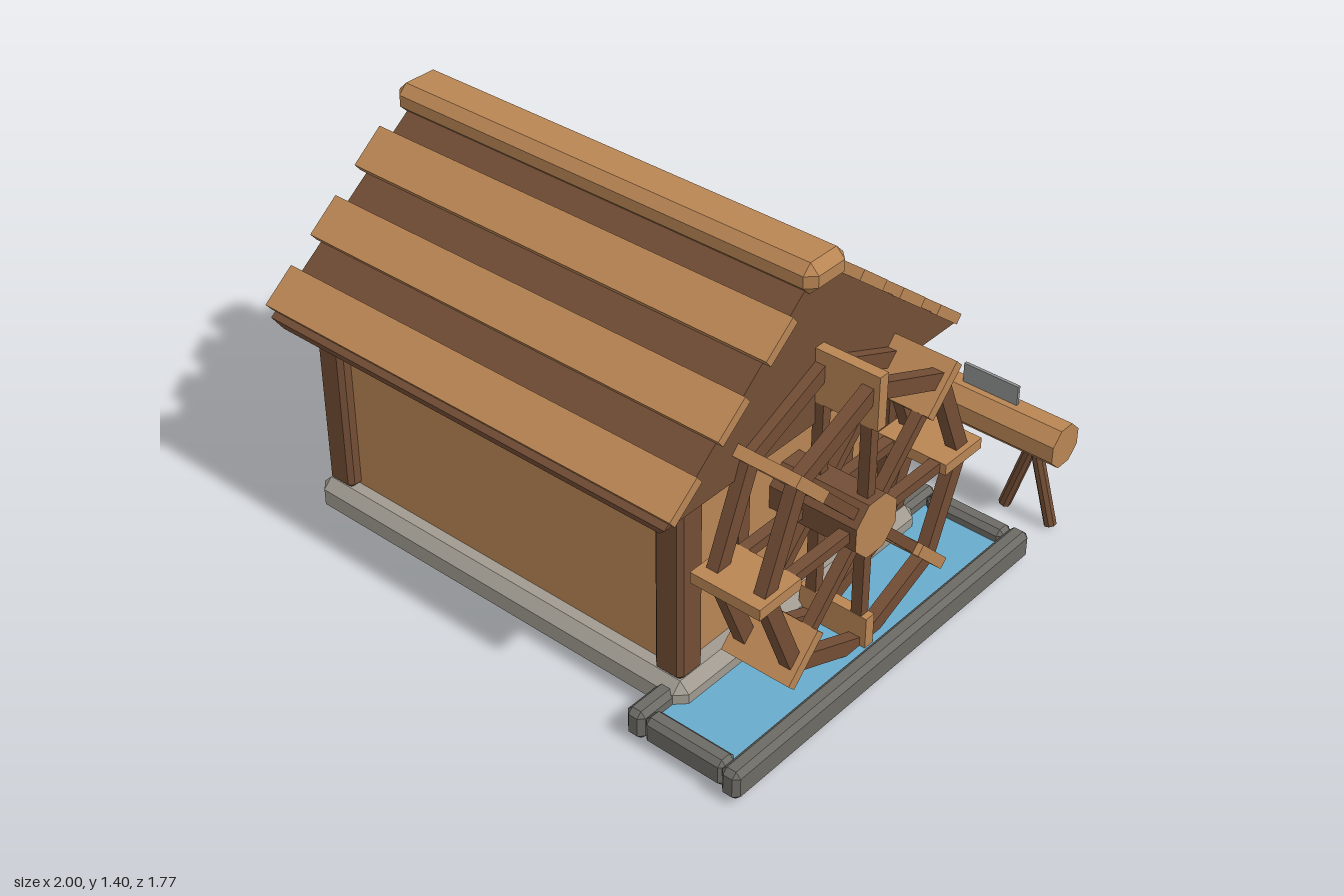
import * as THREE from 'three';
import { ConvexGeometry } from 'three/addons/geometries/ConvexGeometry.js';

const mat = (name, color) => {
  const m = new THREE.MeshStandardMaterial({ color });
  m.name = name;
  return m;
};

export function createModel() {
  const wood = mat('lightWood', 0xb98554);
  const dark = mat('darkWood', 0x724d35);
  const stone = mat('paleStone', 0xa09a90);
  const curb = mat('greyStone', 0x6c6a65);
  const water = mat('water', 0x68abcb);
  const navy = mat('navy', 0x32365a);
  const steel = mat('steel', 0x8e9090);

  const model = new THREE.Group();
  model.name = 'watermill';
  const ZC = 0.135; // centre line of the house
  const XC = -0.145;

  const add = (parent, name, geo, material, x = 0, y = 0, z = 0) => {
    const m = new THREE.Mesh(geo, material);
    m.name = name;
    m.position.set(x, y, z);
    parent.add(m);
    return m;
  };

  // box given by its min and max on each axis, optionally with chamfered edges
  const block = (name, material, [x0, x1], [y0, y1], [z0, z1], c = 0, parent = model) => {
    const w = x1 - x0, h = y1 - y0, d = z1 - z0;
    let geo = new THREE.BoxGeometry(w, h, d);
    if (c) {
      const pts = [];
      for (const i of [-1, 1]) for (const j of [-1, 1]) for (const k of [-1, 1]) {
        const a = w / 2, b = h / 2, e = d / 2;
        pts.push(
          new THREE.Vector3(i * a, j * (b - c), k * (e - c)),
          new THREE.Vector3(i * (a - c), j * b, k * (e - c)),
          new THREE.Vector3(i * (a - c), j * (b - c), k * e));
      }
      geo = new ConvexGeometry(pts);
    }
    return add(parent, name, geo, material, (x0 + x1) / 2, (y0 + y1) / 2, (z0 + z1) / 2);
  };

  // faceted cylinder lying along x
  const drum = (r, len, sides) => {
    const g = new THREE.CylinderGeometry(r, r, len, sides).toNonIndexed();
    g.rotateZ(Math.PI / 2).rotateX(Math.PI / sides);
    g.computeVertexNormals();
    return g;
  };

  // foundation, walls and corner posts
  block('foundation', stone, [-0.95, 0.66], [0.015, 0.145], [-0.465, 0.735], 0.035);
  block('walls', wood, [-0.87, 0.58], [0.14, 0.82], [-0.39, 0.66]);
  for (const x of [-0.865, 0.575]) for (const z of [-0.38, 0.65]) {
    block('cornerPost', dark, [x - 0.055, x + 0.055], [0.14, 0.82], [z - 0.055, z + 0.055], 0.016);
  }
  for (const s of [-1, 1]) {
    const z = ZC + s * 0.256;
    block('wallStud', dark, [0.57, 0.61], [0.14, 0.8], [z - 0.025, z + 0.025]);
  }

  // solid gable roof with a chamfered lower edge
  const roofPts = [];
  for (const [y, hx, hz] of [[0.79, 0.79, 0.68], [0.825, 0.825, 0.697], [1.37, 0.81, 0.002]]) {
    for (const i of [-1, 1]) for (const k of [-1, 1]) roofPts.push(new THREE.Vector3(i * hx, y, k * hz));
  }
  add(model, 'roof', new ConvexGeometry(roofPts), dark, XC, 0, ZC);
  block('ridgeBeam', wood, [-1, 0.705], [1.3, 1.405], [ZC - 0.092, ZC + 0.092], 0.032);

  // roof planks, three on each slope
  const slope = Math.atan(0.79);
  for (const s of [-1, 1]) {
    for (let i = 0; i < 3; i++) {
      const y = 0.897 + i * 0.164, z = ZC + s * (0.628 - i * 0.207);
      const p = add(model, 'roofPlank', new THREE.BoxGeometry(1.69, 0.036, 0.15), wood, XC, y, z);
      p.rotation.x = s * slope;
    }
  }

  // door and lintel on the back wall
  block('door', navy, [-0.1, 0.395], [0.145, 0.59], [-0.4, -0.385]);
  block('doorLintel', dark, [-0.19, 0.45], [0.575, 0.665], [-0.44, -0.385], 0.012);

  // window on the back wall
  const windowGroup = new THREE.Group();
  windowGroup.name = 'window';
  model.add(windowGroup);
  const wx = -0.515, zr = [-0.437, -0.385];
  block('windowPane', navy, [wx - 0.14, wx + 0.14], [0.45, 0.66], [-0.412, -0.385], 0, windowGroup);
  for (const x of [-0.145, 0, 0.145]) {
    const h = x ? 0.018 : 0.012;
    block('windowUpright', dark, [wx + x - h, wx + x + h], [0.44, 0.67], zr, 0, windowGroup);
  }
  for (const y of [0.455, 0.655]) {
    block('windowRail', dark, [wx - 0.145, wx + 0.145], [y - 0.015, y + 0.015], zr, 0, windowGroup);
  }
  block('windowSill', wood, [wx - 0.2, wx + 0.2], [0.365, 0.405], [-0.445, -0.385], 0, windowGroup);

  // water channel with stone curbs
  block('outerCurb', curb, [0.93, 1], [0.015, 0.12], [-0.615, 0.885], 0.018);
  block('innerCurb', curb, [0.555, 0.625], [0.015, 0.12], [-0.615, 0.875], 0.018);
  block('frontCurb', curb, [0.625, 0.935], [0.02, 0.117], [0.8, 0.872], 0.018);
  block('backCurb', curb, [0.625, 0.935], [0.02, 0.117], [-0.612, -0.54], 0.018);
  block('channelWater', water, [0.61, 0.935], [0.035, 0.075], [-0.55, 0.81]);

  // water wheel: hub, then paddle, spokes and rim segments for each of eight sectors
  const wheel = new THREE.Group();
  wheel.name = 'waterWheel';
  wheel.position.set(0, 0.547, ZC);
  model.add(wheel);
  add(wheel, 'hub', drum(0.108, 0.34, 8), [dark, wood, wood], 0.74);
  const RIM = 0.478;
  for (let k = 0; k < 8; k++) {
    const sector = new THREE.Group();
    sector.name = 'wheelSector';
    sector.rotation.x = -k * Math.PI / 4;
    wheel.add(sector);
    add(sector, 'paddle', new THREE.BoxGeometry(0.262, 0.04, 0.19), wood, 0.777, 0, 0.452);
    for (const x of [0.689, 0.866]) {
      add(sector, 'spoke', new THREE.BoxGeometry(0.04, 0.036, 0.42), dark, x, 0, 0.25);
      const a = Math.PI / 8, d = RIM * Math.cos(a);
      const seg = add(sector, 'rimSegment',
        new THREE.BoxGeometry(0.043, 2 * RIM * Math.sin(a) + 0.02, 0.055), dark,
        x, d * Math.sin(a), d * Math.cos(a));
      seg.rotation.x = -a;
    }
  }

  // log on splayed legs with a saw blade stuck in it
  const sawhorse = new THREE.Group();
  sawhorse.name = 'logStand';
  sawhorse.position.set(0.658, 0, -0.808);
  model.add(sawhorse);
  add(sawhorse, 'log', drum(0.08, 0.645, 8), wood, 0, 0.348);
  add(sawhorse, 'sawBlade', new THREE.BoxGeometry(0.215, 0.1, 0.012), steel, 0.022, 0.445);
  for (const e of [-1, 1]) for (const s of [-1, 1]) {
    const g = drum(0.022, 0.3, 8).rotateZ(Math.PI / 2);
    const leg = add(sawhorse, 'standLeg', g, dark, e * 0.208 + s * 0.049, 0.155, 0);
    leg.rotation.z = s * 0.29;
  }
  return model;
}
